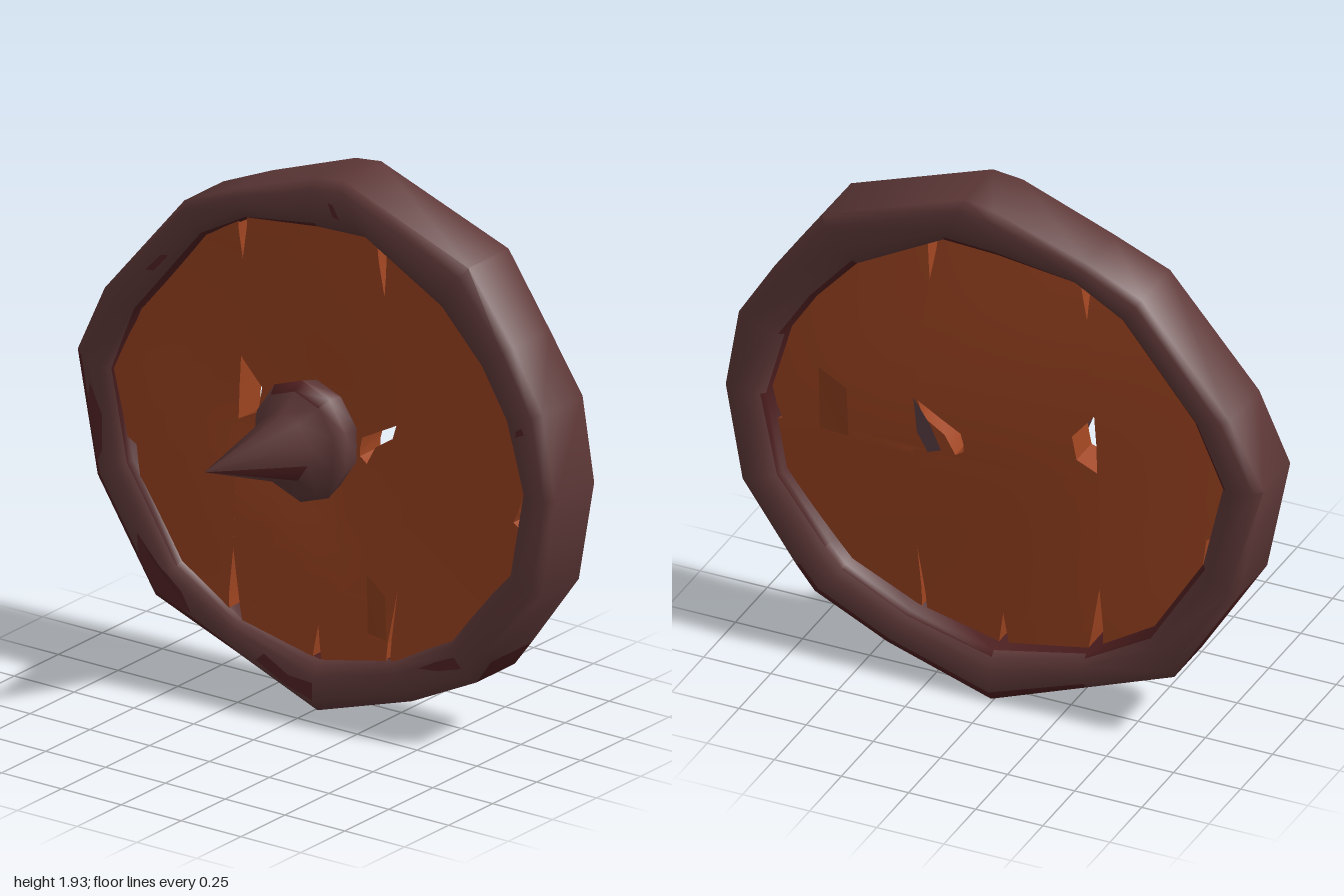
import * as THREE from 'three';
import { toCreasedNormals } from 'three/addons/utils/BufferGeometryUtils.js';

const mat = (name, color, side = THREE.FrontSide) => {
  const m = new THREE.MeshStandardMaterial({ color, side });
  m.name = name;
  return m;
};
const mix = (a, b, f) => a.map((v, i) => v + (b[i] - v) * f);

// Skins a list of closed cross-section loops; pick(i, j) gives a material index per quad.
function loft(rings, { closed = false, crease = 0.8, pick = null } = {}) {
  const n = rings[0].length, count = rings.length;
  const index = [];
  const g = new THREE.BufferGeometry();
  for (let i = 0; i < (closed ? count : count - 1); i++) {
    for (let j = 0; j < n; j++) {
      const k = (j + 1) % n, a = i * n, b = ((i + 1) % count) * n;
      if (pick) g.addGroup(index.length, 6, pick(i, j));
      index.push(a + j, a + k, b + k, a + j, b + k, b + j);
    }
  }
  if (!closed) {
    const start = index.length, last = (count - 1) * n;
    for (let j = 1; j < n - 1; j++) {
      index.push(0, j + 1, j, last, last + j, last + j + 1);
    }
    if (pick) g.addGroup(start, index.length - start, 0);
  }
  g.setAttribute('position', new THREE.Float32BufferAttribute(rings.flat(2), 3));
  g.setIndex(index);
  return toCreasedNormals(g, crease);
}

// Hammered rim: outer and inner outlines, clockwise from the top
const OUTER = [[0.11, 1.935], [0.64, 1.74], [0.82, 1.49], [0.95, 1.28], [1, 0.98], [0.94, 0.62], [0.735, 0.34],
  [0.67, 0.25], [0.4, 0.12], [0.01, 0], [-0.34, 0.13], [-0.67, 0.26], [-0.91, 0.64], [-1, 1.07],
  [-0.88, 1.32], [-0.55, 1.71], [-0.34, 1.8], [0, 1.92]];
const INNER = [[0.2, 1.745], [0.52, 1.57], [0.68, 1.39], [0.79, 1.22], [0.86, 0.97], [0.8, 0.67], [0.62, 0.445],
  [0.56, 0.37], [0.32, 0.25], [0.01, 0.18], [-0.33, 0.25], [-0.57, 0.4], [-0.77, 0.72], [-0.84, 1.03],
  [-0.74, 1.27], [-0.47, 1.6], [-0.29, 1.7], [0, 1.74]];
// Rim section: t runs from outer edge (0) to inner edge (1)
const SECTION = [[0, -0.105], [0.2, -0.08], [0.7, -0.082], [0.9, -0.1], [1, -0.118],
  [1, -0.305], [0.9, -0.32], [0.7, -0.338], [0.2, -0.345], [0, -0.325]];

const rimPoint = (i, t, z) => [...mix(OUTER[i], INNER[i], t),
  -0.215 + (z + 0.215) * (1 + 0.05 * Math.sin(i * 2.3))];

function rimGeometry() {
  const rings = OUTER.map((_, i) => SECTION.map(([t, z]) => rimPoint(i, t, z)));
  // rust on the inner wall and its edges, and on the lower outer band
  const pick = (i, j) => {
    const low = i >= 6 && i <= 11;
    const rusty = j === 4 || (j === 3 && i >= 11 && i <= 16) || (j === 5 && i % 3 !== 0)
      || (j === 9 && low) || (j === 8 && i >= 6 && i <= 9) || (j === 0 && i >= 10 && i <= 12);
    return rusty ? 1 : 0;
  };
  return loft(rings, { closed: true, crease: 1.1, pick });
}

// Warped boards: rows of [y, right edge, left edge], with cracks along the seams
const BOARDS = {
  rightSideBoard: [[0.21, -0.42, -0.37], [0.33, -0.62, -0.375], [0.5, -0.73, -0.36], [0.6, -0.8, -0.36],
    [0.66, -0.74, -0.36], [0.78, -0.755, -0.36], [0.84, -0.87, -0.36], [1.07, -0.92, -0.358],
    [1.18, -0.88, -0.352], [1.3, -0.82, -0.345], [1.54, -0.62, -0.322], [1.65, -0.51, -0.33], [1.75, -0.38, -0.33]],
  middleBoard: [[0.3, -0.33, 0.29], [0.5, -0.362, 0.316], [0.885, -0.362, 0.32], [0.9, -0.362, 0.16],
    [0.92, -0.362, 0.13], [0.95, -0.362, 0.13], [0.99, -0.285, 0.14], [1.08, -0.27, 0.306], [1.18, -0.353, 0.304],
    [1.3, -0.348, 0.304], [1.54, -0.324, 0.272], [1.67, -0.295, 0.25], [1.81, -0.29, 0.24]],
  middleBoardRightFoot: [[0.15, -0.3, -0.025], [0.3, -0.33, 0]],
  middleBoardLeftFoot: [[0.13, 0.025, 0.28], [0.3, 0, 0.29]],
  leftSideBoard: [[0.2, 0.305, 0.45], [0.32, 0.305, 0.62], [0.5, 0.315, 0.75], [0.65, 0.315, 0.87],
    [0.82, 0.316, 0.88], [0.86, 0.317, 0.82], [0.885, 0.317, 0.83], [0.9, 0.16, 0.84], [0.97, 0.2, 0.86],
    [1.02, 0.28, 0.92], [1.08, 0.303, 0.91], [1.3, 0.301, 0.85], [1.54, 0.271, 0.69], [1.63, 0.28, 0.6],
    [1.73, 0.285, 0.42], [1.79, 0.29, 0.32]],
};
const COLUMNS = 6;
const dish = (x, y) => x * x + (y - 0.97) ** 2;
const frontZ = (x, y) => Math.min(-0.112,
  -0.155 + 0.06 * dish(x, y) - 0.02 * Math.exp(-dish(x, y) / 0.08) + 0.01 * Math.sin(5 * y + 4 * x));
const backZ = (x, y) => -0.285 + 0.04 * dish(x, y) + 0.012 * Math.sin(4 * y + 3 * x);

function boardGeometry(rows) {
  // extra rows in between so that the warp stays smooth
  const fine = rows.flatMap((row, i) => {
    if (i === rows.length - 1) return [row];
    const steps = Math.ceil((rows[i + 1][0] - row[0]) / 0.09);
    return Array.from({ length: steps }, (_, s) => mix(row, rows[i + 1], s / steps));
  });
  return loft(fine.map(([y, right, left]) => {
    const xs = Array.from({ length: COLUMNS + 1 }, (_, c) => right + (left - right) * c / COLUMNS);
    return [...xs.map((x) => [x, y, frontZ(x, y)]), ...xs.reverse().map((x) => [x, y, backZ(x, y)])];
  }), { crease: 0.7 });
}

// Boss and bent spike: rings of [z, centre x, centre y, radius]
const BOSS = [[-0.2, -0.05, 0.96, 0.19], [-0.09, -0.05, 0.96, 0.22], [-0.055, -0.055, 0.96, 0.19],
  [-0.03, -0.085, 0.945, 0.125], [0.345, -0.13, 0.967, 0.002]];
function bossGeometry() {
  const rings = BOSS.map(([z, cx, cy, r]) => Array.from({ length: 10 }, (_, i) => {
    const a = (i / 10) * Math.PI * 2 + 0.3;
    return [cx + r * 0.89 * Math.cos(a), cy + r * Math.sin(a), z];
  }));
  // rust under the spike and along the top of the flange
  const pick = (i, j) => ((i === 3 && j === 8) || (i === 1 && (j === 1 || j === 2)) ? 1 : 0);
  return loft(rings, { crease: 1.5, pick });
}

// Thin patch from a flat outline, each corner placed by a rule
function patchGeometry(points, place) {
  const g = new THREE.ShapeGeometry(new THREE.Shape(points.map(([x, y]) => new THREE.Vector2(x, y))));
  const p = g.attributes.position;
  for (let i = 0; i < p.count; i++) p.setXYZ(i, ...place(p.getX(i), p.getY(i)));
  g.computeVertexNormals();
  return g;
}
const onBoard = (x, y) => [x, y, frontZ(x, y) + 0.008];
const behindBoard = (x, y) => [x, y, backZ(x, y) - 0.008];
// s counts along the rim outline, t goes across its front
const onRim = (s, t) => {
  const i = Math.floor(s), n = OUTER.length;
  const p = mix(rimPoint(i % n, t, -0.08), rimPoint((i + 1) % n, t, -0.08), s - i);
  p[2] += 0.005;
  return p;
};

export function createModel() {
  const wood = mat('wood', 0x9f4521);
  const chippedWood = mat('chipped wood', 0x8e3f1e, THREE.DoubleSide);
  const iron = mat('iron', 0x603939);
  const ironScrap = mat('iron scrap', 0x5c4044, THREE.DoubleSide);
  const rust = mat('rust', 0x4f1f20);
  const rustPatch = mat('rust patch', 0x552425, THREE.DoubleSide);
  const model = new THREE.Group();
  model.name = 'shield';
  const add = (name, geometry, material) => {
    const mesh = new THREE.Mesh(geometry, material);
    mesh.name = name;
    model.add(mesh);
  };

  add('rim', rimGeometry(), [iron, rust]);
  for (const [name, rows] of Object.entries(BOARDS)) add(name, boardGeometry(rows), wood);
  add('bossSpike', bossGeometry(), [iron, rust]);

  // Chips split from the boards, front and back
  const lowChip = [[0.19, 0.52], [0.21, 0.32], [0.29, 0.31], [0.27, 0.46]];
  const topChip = [[-0.12, 1.61], [0.23, 1.61], [0.24, 1.73], [-0.08, 1.72]];
  const smallChip = [[-0.34, 0.85], [-0.27, 0.84], [-0.25, 0.87], [-0.32, 0.89]];
  const backChip = [[0.68, 1.1], [0.57, 1.05], [0.56, 0.87], [0.67, 0.87]];
  add('lowChip', patchGeometry(lowChip, onBoard), chippedWood);
  add('topChip', patchGeometry(topChip, onBoard), wood);
  add('smallChip', patchGeometry(smallChip, onBoard), wood);
  add('backChip', patchGeometry(backChip, behindBoard), chippedWood);
  const scrap = [[0.315, 1.09], [0.3, 0.96], [0.26, 0.89], [0.21, 0.91], [0.25, 1.0]];
  add('ironScrap', patchGeometry(scrap, behindBoard), ironScrap);

  // Rust patches on the rim front, in rim coordinates
  const patches = [
    [[10.55, 0.3], [10.7, 0.2], [11, 0.2], [11.3, 0.2], [11.45, 0.45], [11.2, 0.5], [11, 0.7], [10.75, 0.6]],
    [[9, 0.25], [9.35, 0.2], [9.7, 0.3], [9.6, 0.6], [9.3, 0.45], [9, 0.6]],
    [[7, 0.4], [7.35, 0.5], [7.6, 0.68], [7.3, 0.7], [7, 0.68]],
    [[12.1, 0.2], [12.6, 0.2], [12.8, 0.35], [12.5, 0.55], [12.2, 0.4]],
    [[14.4, 0.5], [14.6, 0.55], [14.65, 0.7], [14.45, 0.68]],
    [[17.5, 0.4], [17.62, 0.42], [17.7, 0.7], [17.55, 0.65]],
    [[3.1, 0.45], [3.18, 0.42], [3.2, 0.65], [3.12, 0.62]],
  ];
  for (const points of patches) add('rustPatch', patchGeometry(points, onRim), rustPatch);

  return model;
}
